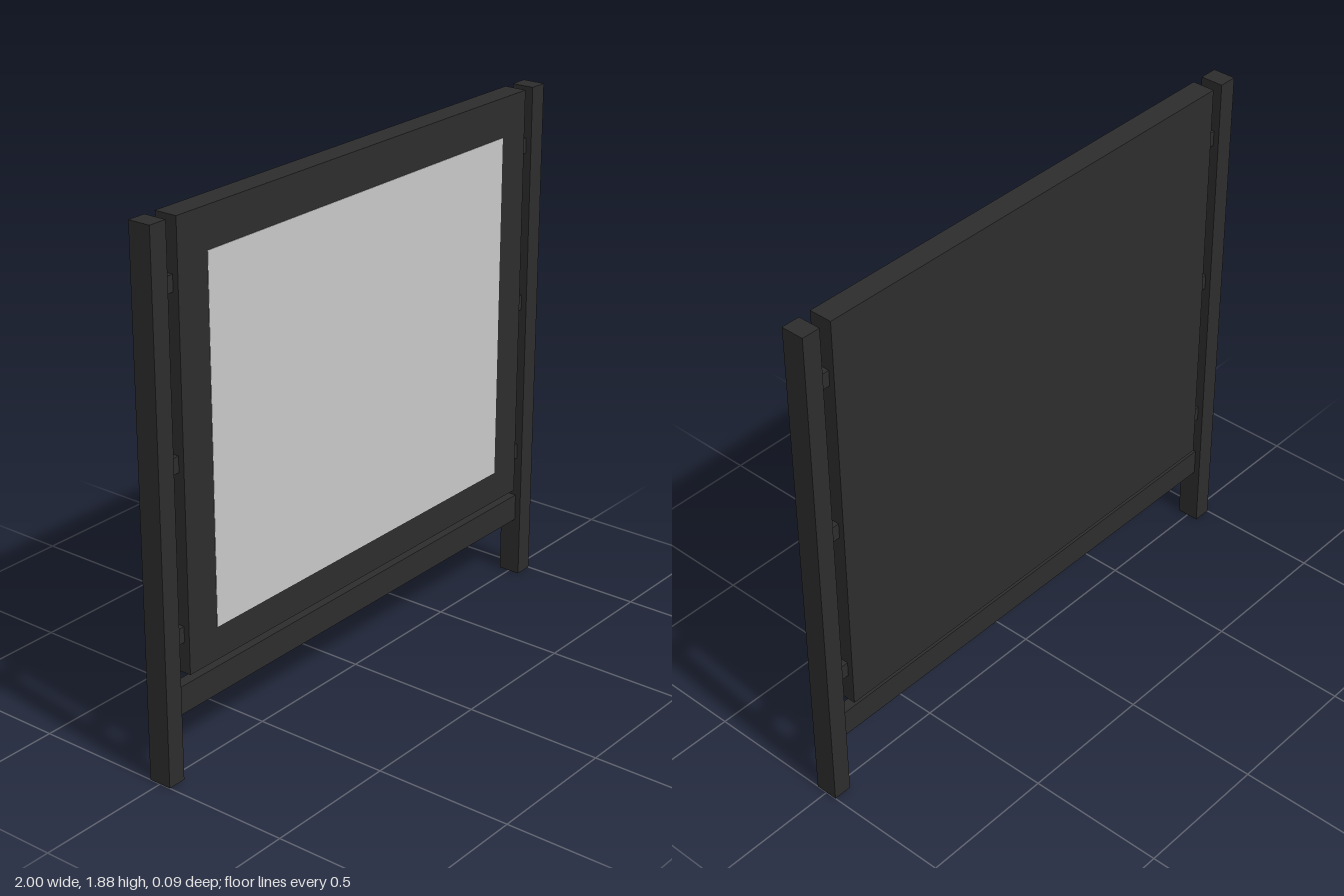
import * as THREE from 'three';

export function createModel() {
  const group = new THREE.Group();
  const dark = new THREE.MeshStandardMaterial({ color: 0x2d2d2d });
  dark.name = 'charcoal';
  const grey = new THREE.MeshStandardMaterial({ color: 0xc8c8c8 });
  grey.name = 'lightGrey';

  const box = (name, material, size, x, y, z = 0) => {
    const mesh = new THREE.Mesh(new THREE.BoxGeometry(...size), material);
    mesh.name = name;
    mesh.position.set(x, y, z);
    group.add(mesh);
  };

  // Solid board with a flush panel on its front
  box('board', dark, [1.776, 1.52, 0.084], 0, 1.122);
  box('frontPanel', grey, [1.514, 1.262, 0.004], 0, 1.11, 0.0415);

  // Lower rail between the posts
  box('lowerRail', dark, [1.864, 0.1, 0.04], 0, 0.27);

  // Posts and the pegs joining them to the board
  for (const [side, s] of [['left', 1], ['right', -1]]) {
    box(side + 'Post', dark, [0.068, 1.882, 0.084], s * 0.966, 0.941);
    for (const y of [0.5, 1.085, 1.67]) {
      box(side + 'Peg', dark, [0.046, 0.056, 0.042], s * 0.91, y);
    }
  }
  return group;
}
